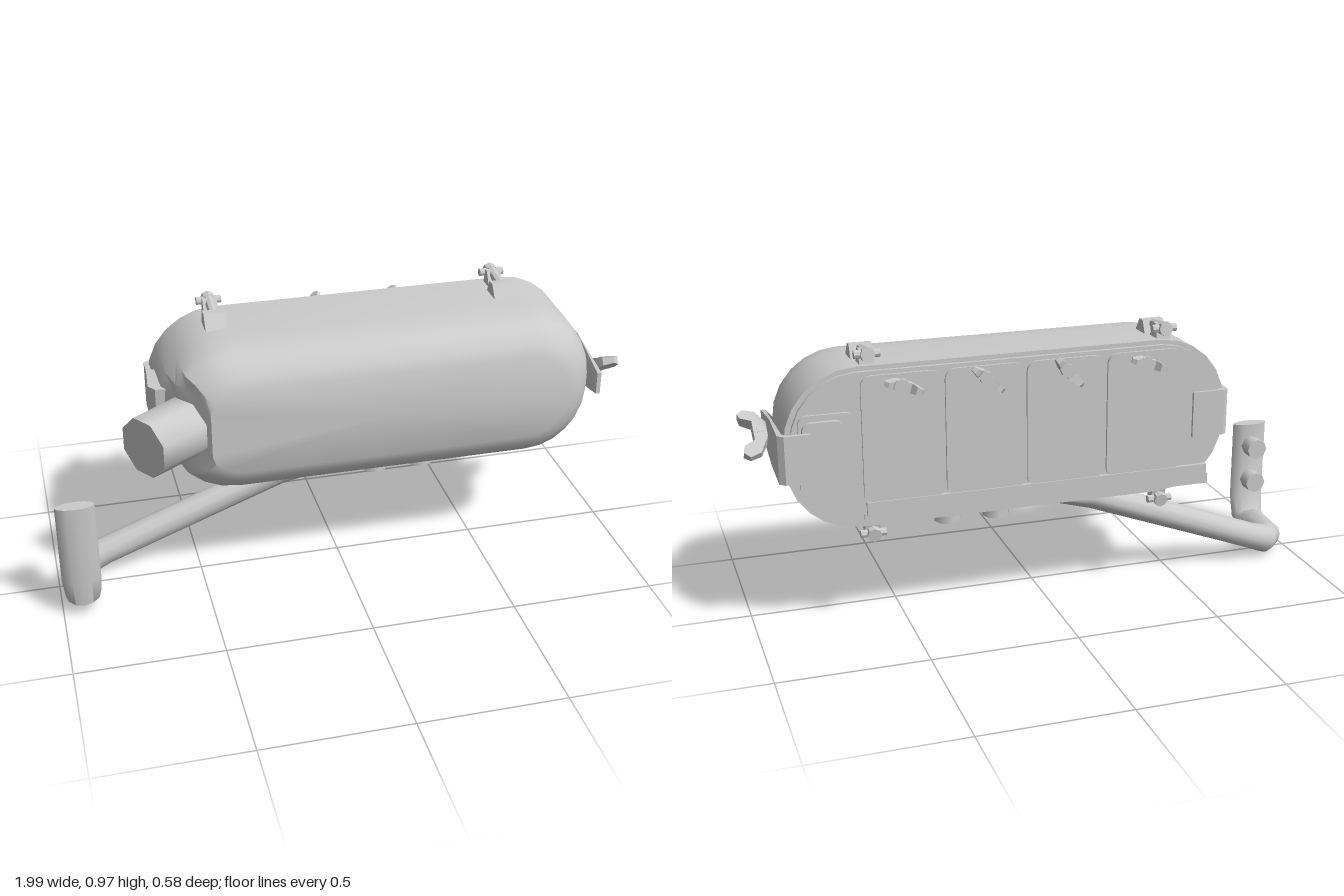
import * as THREE from 'three';
import { toCreasedNormals } from 'three/addons/utils/BufferGeometryUtils.js';

const V = (x, y, z) => new THREE.Vector3(x, y, z);
const CY = 0.64; // height of the case centre line

export function createModel() {
  const group = new THREE.Group();
  const mat = new THREE.MeshStandardMaterial({ color: 0xcccccc });

  const add = (name, geo, x = 0, y = 0, z = 0, crease = 0.6) => {
    const mesh = new THREE.Mesh(toCreasedNormals(geo, crease), mat);
    mesh.name = name;
    mesh.position.set(x, y, z);
    group.add(mesh);
    return mesh;
  };
  const box = (name, w, h, d, x, y, z) => add(name, new THREE.BoxGeometry(w, h, d), x, y, z);

  // Skin over a list of closed rings, capped at both ends
  const loft = (rings) => {
    const pos = [], n = rings[0].length;
    const tri = (...p) => p.forEach((v) => pos.push(v.x, v.y, v.z));
    const centre = (r) => r.reduce((s, p) => s.add(p), V(0, 0, 0)).divideScalar(n);
    const first = rings[0], last = rings[rings.length - 1];
    const c0 = centre(first), c1 = centre(last);
    for (let j = 0; j < n; j++) {
      const k = (j + 1) % n;
      for (let i = 0; i < rings.length - 1; i++) {
        const [a, b, c, d] = [rings[i][j], rings[i][k], rings[i + 1][j], rings[i + 1][k]];
        tri(a, b, d);
        tri(a, d, c);
      }
      tri(c0, first[k], first[j]);
      tri(c1, last[j], last[k]);
    }
    const g = new THREE.BufferGeometry();
    g.setAttribute('position', new THREE.Float32BufferAttribute(pos, 3));
    return g;
  };

  const extrude = (pts, depth) => {
    const shape = new THREE.Shape(pts.map(([x, y]) => new THREE.Vector2(x, y)));
    const g = new THREE.ExtrudeGeometry(shape, { depth, bevelEnabled: false });
    return g.translate(0, 0, -depth / 2);
  };

  // Rounded rectangle outline, counter-clockwise
  const roundedOutline = (hw, hh, r, steps = 6) => {
    const pts = [];
    [[1, 1], [-1, 1], [-1, -1], [1, -1]].forEach(([sx, sy], q) => {
      for (let i = 0; i <= steps; i++) {
        const a = (q + i / steps) * Math.PI / 2;
        pts.push([sx * (hw - r) + r * Math.cos(a), sy * (hh - r) + r * Math.sin(a)]);
      }
    });
    return pts;
  };
  const plate = (name, x0, x1, y0, y1, z0, z1, r) =>
    add(name, extrude(roundedOutline((x1 - x0) / 2, (y1 - y0) / 2, r), z1 - z0),
      (x0 + x1) / 2, (y0 + y1) / 2, (z0 + z1) / 2);

  // Case: rounded front edge, slanted face at the spout corner
  const bodyRings = [[-0.22, 0], [0, 0.005], [0.08, 0.012], [0.115, 0.022], [0.15, 0.042],
    [0.183, 0.08], [0.2, 0.118]].map(([z, inset]) =>
    roundedOutline(0.755 - inset, 0.27 - inset, 0.24 - inset * 0.8).map(([x, y]) =>
      V(Math.max(x + 0.135, -0.58 + (z - 0.06) * 0.786), y + CY, z)));
  add('case', loft(bodyRings), 0, 0, 0, 0.55);

  // Spout at the slanted corner
  const spout = new THREE.CylinderGeometry(0.104, 0.107, 0.28, 8).rotateY(Math.PI / 8)
    .rotateX(Math.PI / 2).rotateY(Math.atan2(-0.82, 0.57));
  add('spout', spout, -0.58, 0.635, 0.132, 0.9);

  // Back lid with four raised panels and a stepped lower rail
  plate('lid', -0.6, 0.87, 0.385, 0.895, -0.232, -0.215, 0.22);
  [-0.32, -0.04, 0.235, 0.51].forEach((x) =>
    plate('lidPanel', x - 0.132, x + 0.132, 0.45, 0.882, -0.241, -0.23, 0.035));
  box('lowerRail', 1.19, 0.045, 0.03, 0.04, 0.437, -0.23);
  box('lowerRailStep', 1.21, 0.035, 0.025, 0.04, 0.403, -0.223);
  plate('latchPanel', 0.665, 0.845, 0.5, 0.77, -0.241, -0.225, 0.03);
  plate('latchPad', 0.7, 0.835, 0.53, 0.75, -0.256, -0.235, 0.03);

  // Wing nut: crescent along local y with a short hub
  const wingGeo = (scale) => {
    const half = [[0.022, 0], [0.065, 0.022], [0.076, 0.05], [0.062, 0.066], [0.044, 0.062], [0.03, 0.034]];
    const pts = [...half, ...half.slice().reverse().map(([x, y]) => [-x, y])];
    const g = extrude(pts, 0.034);
    // thinner towards the wing tips
    const p = g.attributes.position;
    for (let i = 0; i < p.count; i++) p.setZ(i, p.getZ(i) * (1.5 - 14 * Math.abs(p.getX(i))));
    return g.scale(scale, scale, scale);
  };
  [[-0.32, -0.3], [-0.04, -0.85], [0.235, -0.7], [0.51, -0.3]].forEach(([x, spin]) => {
    add('lidWingNut', wingGeo(0.88).rotateY(spin).rotateX(-Math.PI / 2), x, 0.845, -0.236);
    add('lidStud', new THREE.CylinderGeometry(0.022, 0.022, 0.03, 8).rotateX(Math.PI / 2), x, 0.845, -0.245);
  });

  // End strap: hooked at the back, tapering towards the front
  const bandGeo = (pts, h) => extrude(pts, h).rotateX(Math.PI / 2);
  const strap = bandGeo([[0.89, 0.155], [0.892, -0.08], [0.897, -0.24], [0.888, -0.258], [0.81, -0.258],
    [0.81, -0.272], [0.895, -0.272], [0.914, -0.255], [0.91, -0.08], [0.905, 0.155]], 0.16);
  const sp = strap.attributes.position;
  for (let i = 0; i < sp.count; i++) {
    const t = Math.max(0, (sp.getZ(i) + 0.08) / 0.235);
    sp.setY(i, sp.getY(i) * (1 - 0.5 * t));
  }
  add('latchStrap', strap, 0, CY, 0);
  add('latchWingNut', wingGeo(1.3).rotateY(0.98).rotateZ(-Math.PI / 2), 0.908, CY, 0.02);
  add('latchStud', new THREE.CylinderGeometry(0.026, 0.026, 0.06, 8).rotateZ(Math.PI / 2), 0.91, CY, 0.02);

  // Hinge bracket on the spout end
  add('hingeBracket', bandGeo([[-0.57, 0.03], [-0.625, 0.02], [-0.645, -0.01], [-0.635, -0.12],
    [-0.622, -0.13], [-0.57, -0.13]], 0.2), 0, CY, 0);
  add('hingeStrap', bandGeo([[-0.6, -0.1], [-0.632, -0.1], [-0.63, -0.23], [-0.615, -0.242],
    [-0.5, -0.242], [-0.5, -0.22], [-0.6, -0.22]], 0.16), 0, CY, 0);

  // Clips on top, mirrored underneath
  const clipSide = (pts, w, up) => {
    const out = pts.map(([z, y]) => [z, y * up]);
    return extrude(up > 0 ? out : out.reverse(), w).rotateY(-Math.PI / 2);
  };
  [-0.4, 0.61].forEach((x) => [1, -1].forEach((up) => {
    add('clipLug', clipSide([[-0.035, 0.25], [-0.075, 0.31], [-0.105, 0.31], [-0.135, 0.25]], 0.075, up), x, CY, 0);
    add('clipFork', clipSide([[-0.13, 0.25], [-0.17, 0.318], [-0.19, 0.318], [-0.205, 0.25]], 0.05, up), x, CY, 0);
    const bolt = new THREE.CylinderGeometry(0.016, 0.016, 0.13, 8).rotateX(Math.PI / 2 + up * 0.15);
    add('clipBolt', bolt, x, CY + up * 0.302, -0.15);
    const head = new THREE.CylinderGeometry(0.024, 0.024, 0.025, 8).rotateX(Math.PI / 2 + up * 0.15);
    add('clipHead', head, x, CY + up * 0.304, -0.21);
    const pin = new THREE.CylinderGeometry(0.014, 0.014, 0.085, 8).rotateZ(Math.PI / 2);
    add('clipPin', pin, x, CY + up * 0.304, -0.2);
  }));

  // Support arm: flattened under the case, round tube, flattened upright.
  // Each section: centre, half width, half thickness, side direction
  const back = V(0, 0, -1), out = V(-1, 0, 0);
  const sections = [
    [V(0.44, 0.358, -0.055), 0.082, 0.02, back],
    [V(0.1, 0.356, -0.055), 0.082, 0.022, back],
    [V(-0.05, 0.349, -0.058), 0.072, 0.03, back],
    [V(-0.2, 0.322, -0.065), 0.05, 0.048, back],
    [V(-0.83, 0.085, -0.065), 0.05, 0.048, back],
    [V(-0.89, 0.062, -0.055), 0.052, 0.052, V(-0.4, 0, -1)],
    [V(-0.92, 0.056, -0.02), 0.053, 0.054, V(-1, 0, -0.6)],
    [V(-0.925, 0.056, 0.12), 0.055, 0.054, out],
    [V(-0.928, 0.075, 0.165), 0.06, 0.045, out],
    [V(-0.93, 0.15, 0.184), 0.066, 0.026, out],
    [V(-0.93, 0.435, 0.184), 0.066, 0.026, out],
  ];
  const armRings = sections.map(([c, w, t, dir], i) => {
    const prev = sections[Math.max(i - 1, 0)][0];
    const next = sections[Math.min(i + 1, sections.length - 1)][0];
    const tan = next.clone().sub(prev).normalize();
    if (i === sections.length - 1) tan.set(0, 1, 0);
    const side = dir.clone().normalize();
    side.addScaledVector(tan, -side.dot(tan)).normalize();
    const up = side.clone().cross(tan);
    return Array.from({ length: 12 }, (_, k) => {
      const a = k / 12 * Math.PI * 2;
      return c.clone().addScaledVector(side, w * Math.cos(a)).addScaledVector(up, -t * Math.sin(a));
    });
  });
  add('supportArm', loft(armRings), 0, 0, 0, 0.9);

  // Bolts under the case and on the upright
  [0.15, 0.32].forEach((x) =>
    add('caseBolt', new THREE.CylinderGeometry(0.048, 0.048, 0.065, 8), x, 0.325, -0.06, 0.9));
  [0.352, 0.218].forEach((y) =>
    add('uprightBolt', new THREE.CylinderGeometry(0.038, 0.038, 0.07, 8).rotateX(Math.PI / 2), -0.93, y, 0.142, 0.9));

  return group;
}
